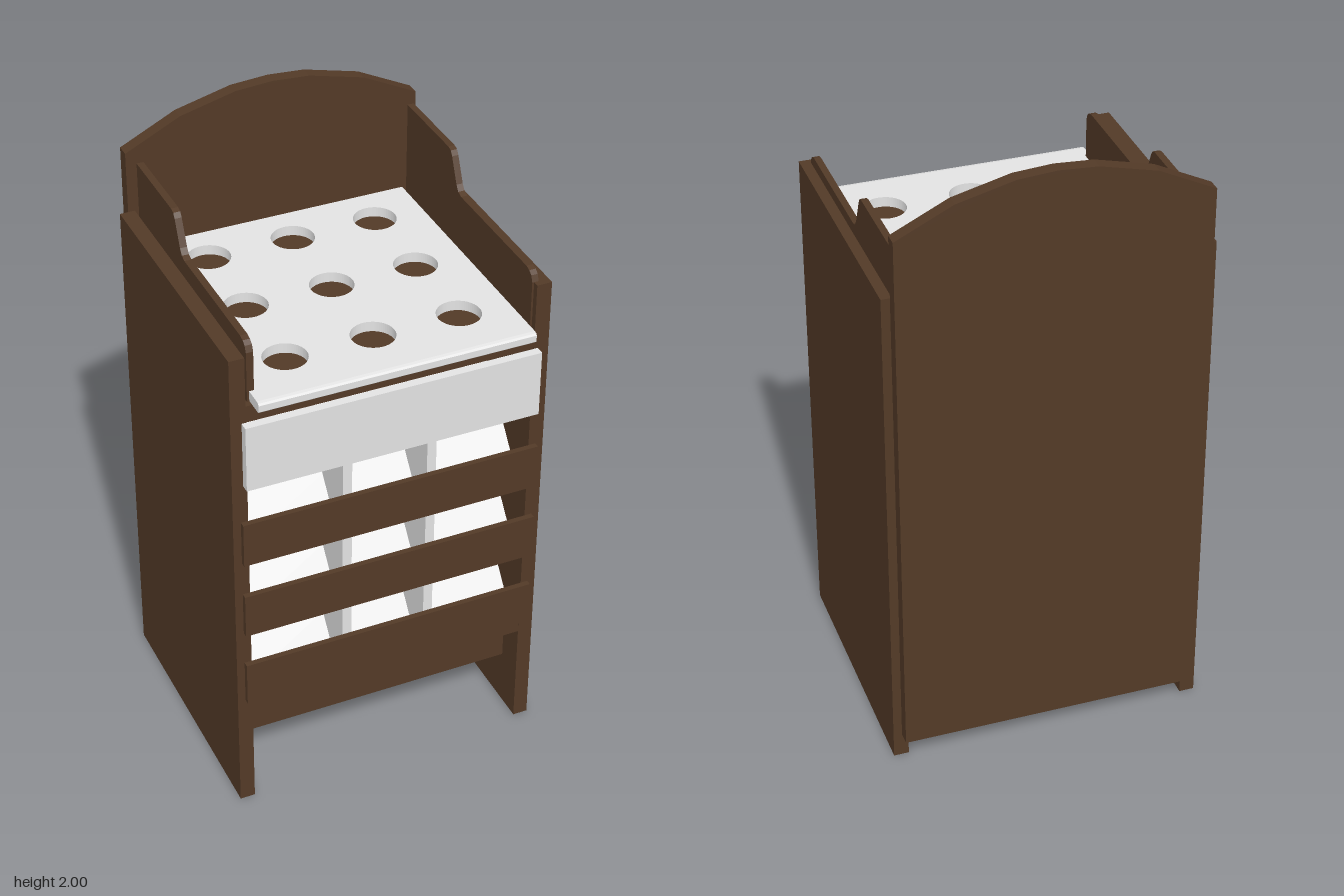
import * as THREE from 'three';

export function createModel() {
  const group = new THREE.Group();
  const wood = new THREE.MeshStandardMaterial({ color: 0x533a27 });
  wood.name = 'dark brown wood';
  const white = new THREE.MeshStandardMaterial({ color: 0xe3e3e3 });
  white.name = 'light grey panel';

  const add = (name, geometry, material) => {
    const mesh = new THREE.Mesh(geometry, material);
    mesh.name = name;
    group.add(mesh);
    return mesh;
  };
  // Box given by its limits on each axis
  const box = (name, material, x0, x1, y0, y1, z0, z1) =>
    add(name, new THREE.BoxGeometry(x1 - x0, y1 - y0, z1 - z0), material)
      .position.set((x0 + x1) / 2, (y0 + y1) / 2, (z0 + z1) / 2);
  // Side profile of [z, y] points, extruded from x0 to x1
  const profile = (name, material, points, x0, x1) => {
    const shape = new THREE.Shape(points.map(([z, y]) => new THREE.Vector2(z, y)));
    const geometry = new THREE.ExtrudeGeometry(shape, { depth: x1 - x0, bevelEnabled: false });
    geometry.rotateY(-Math.PI / 2).translate(x1, 0, 0);
    return add(name, geometry, material);
  };

  // Outer side panels
  box('leftSide', wood, 0.457, 0.505, 0, 1.66, -0.436, 0.43);
  box('rightSide', wood, -0.505, -0.457, 0, 1.66, -0.436, 0.43);

  // Back panel with arched top
  const arch = [[0.478, 1.86], [0.3, 1.947], [0.12, 1.992], [0, 2]];
  const backShape = new THREE.Shape();
  backShape.moveTo(-0.478, 0.08);
  backShape.lineTo(0.478, 0.08);
  arch.forEach(([x, y]) => backShape.lineTo(x, y));
  arch.slice(0, 3).reverse().forEach(([x, y]) => backShape.lineTo(-x, y));
  const back = new THREE.ExtrudeGeometry(backShape, { depth: 0.043, bevelEnabled: false });
  add('backPanel', back.translate(0, 0, -0.48), wood);

  // Stepped inner cheeks above the counter
  const cheek = [
    [-0.436, 1.49], [0.41, 1.49], [0.41, 1.66], [0.402, 1.68], [0.388, 1.69], [0.37, 1.695],
    [-0.055, 1.695], [-0.075, 1.702], [-0.088, 1.72], [-0.123, 1.80], [-0.133, 1.815],
    [-0.15, 1.82], [-0.436, 1.82],
  ];
  profile('rightCheek', wood, cheek, -0.444, -0.422);
  profile('leftCheek', wood, cheek, 0.451, 0.472);

  // Counter board, shelf and recessed plinth
  box('counterBoard', wood, -0.457, 0.457, 1.44, 1.495, -0.436, 0.429);
  box('bottomShelf', wood, -0.457, 0.457, 0.355, 0.405, -0.436, 0.429);
  box('plinth', wood, -0.457, 0.457, 0.185, 0.355, -0.436, 0.335);

  // Counter top: rounded front edge and nine round holes
  const top = new THREE.Shape();
  top.moveTo(-0.437, -0.465);
  top.lineTo(0.437, -0.465);
  top.lineTo(0.437, 0.436);
  top.lineTo(-0.437, 0.436);
  for (const x of [-0.277, 0, 0.277]) {
    for (const z of [-0.295, -0.002, 0.292]) {
      const hole = new THREE.Path();
      hole.absarc(x, -z, 0.068, 0, Math.PI * 2, true);
      top.holes.push(hole);
    }
  }
  const topGeometry = new THREE.ExtrudeGeometry(top, { depth: 0.033, bevelEnabled: false, curveSegments: 32 });
  add('counterTop', topGeometry.rotateX(-Math.PI / 2).translate(0, 1.497, 0), white);
  profile('counterTopEdge', white,
    [[0.465, 1.497], [0.475, 1.497], [0.479, 1.501], [0.479, 1.522], [0.475, 1.528], [0.465, 1.53]],
    -0.437, 0.437);

  // Drawer front
  box('drawerFront', white, -0.47, 0.47, 1.22, 1.44, 0.43, 0.458);

  // Three bins: front slat, sloping panel and two dividers
  for (const y of [0.405, 0.672, 0.94]) {
    box('frontSlat', wood, -0.48, 0.48, y, y + 0.15, 0.43, 0.448);
    profile('slopingPanel', white,
      [[0.365, y], [0.085, y + 0.36], [0.065, y + 0.36], [0.345, y]], -0.456, 0.456);
    for (const x of [-0.137, 0.137]) {
      profile('binDivider', white,
        [[0.365, y], [0.42, y], [0.42, y + 0.285], [0.143, y + 0.285]], x - 0.015, x + 0.015);
    }
  }

  return group;
}
